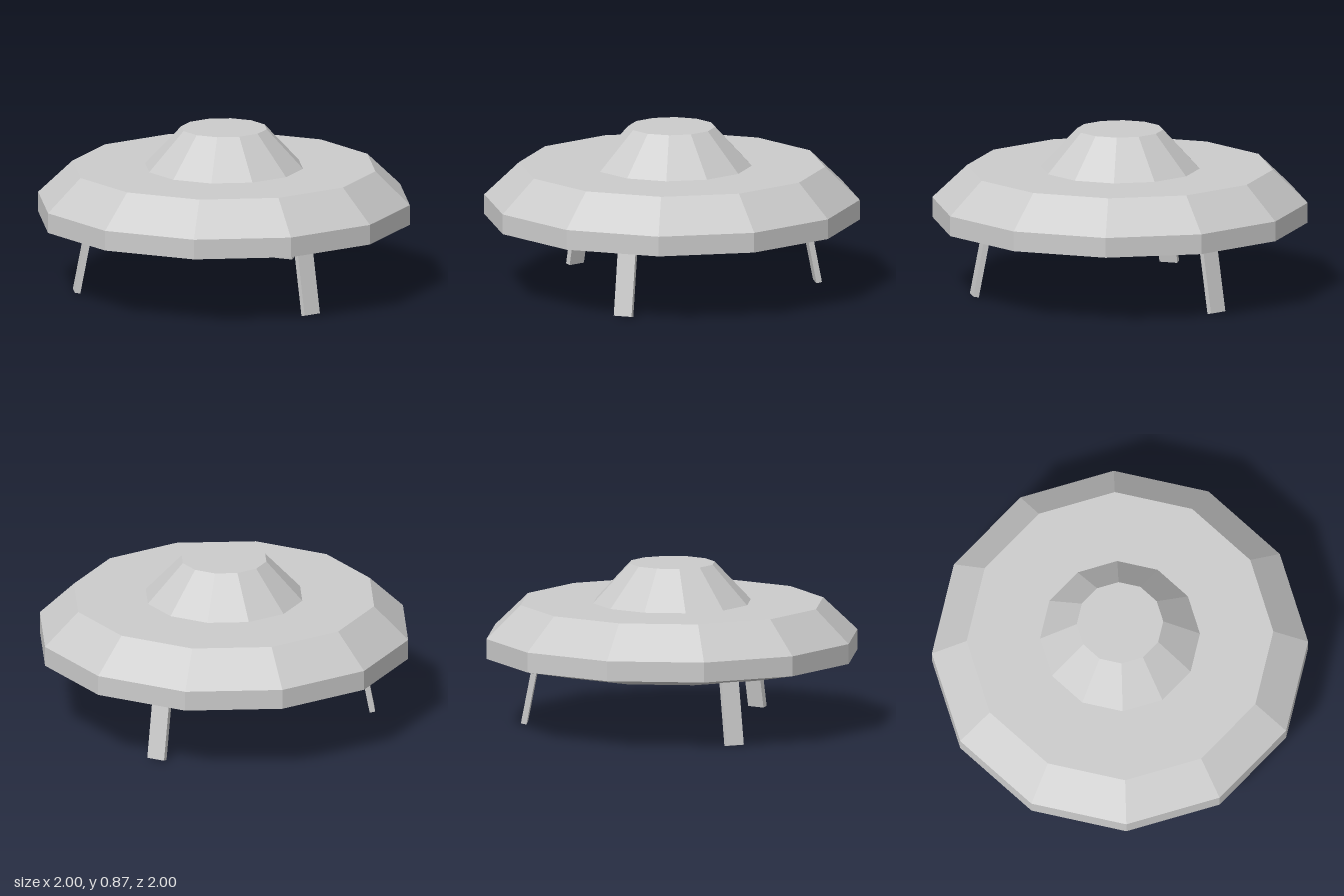
import * as THREE from 'three';

const SIDES = 12;
const LEG_TILT = 0.19;
const LEG_LENGTH = 0.36;

const material = new THREE.MeshStandardMaterial({ color: 0xcccccc, flatShading: true });

// Twelve-sided turned shell from [radius, height] pairs, bottom to top
function turned(name, profile) {
  const points = profile.map(([r, y]) => new THREE.Vector2(r, y));
  const mesh = new THREE.Mesh(new THREE.LatheGeometry(points, SIDES), material);
  mesh.name = name;
  return mesh;
}

// Flat strut leaning outward; its origin is the middle of the foot
function makeLeg(angle) {
  const geometry = new THREE.BoxGeometry(0.03, LEG_LENGTH, 0.1);
  geometry.translate(0, LEG_LENGTH / 2, 0);
  const strut = new THREE.Mesh(geometry, material);
  strut.name = 'legStrut';
  strut.position.set(0.787, 0.003, 0);
  strut.rotation.z = LEG_TILT;

  const leg = new THREE.Group();
  leg.name = 'landingLeg';
  leg.rotation.y = -angle;
  leg.add(strut);
  return leg;
}

export function createModel() {
  const model = new THREE.Group();
  model.name = 'flyingSaucer';

  // Disc: shallow belly, upright rim, bevel and flat deck
  model.add(turned('saucerHull', [
    [0, 0.32], [0.685, 0.32], [1, 0.383], [1, 0.49], [0.815, 0.667], [0.425, 0.667],
  ]));

  // Flat-topped cabin rising from the deck
  model.add(turned('cabinDome', [[0.425, 0.667], [0.23, 0.875], [0, 0.875]]));

  // Three legs evenly spaced, the first at the front left
  for (let i = 0; i < 3; i++) {
    model.add(makeLeg(Math.PI / 4 + (i * Math.PI * 2) / 3));
  }
  return model;
}
